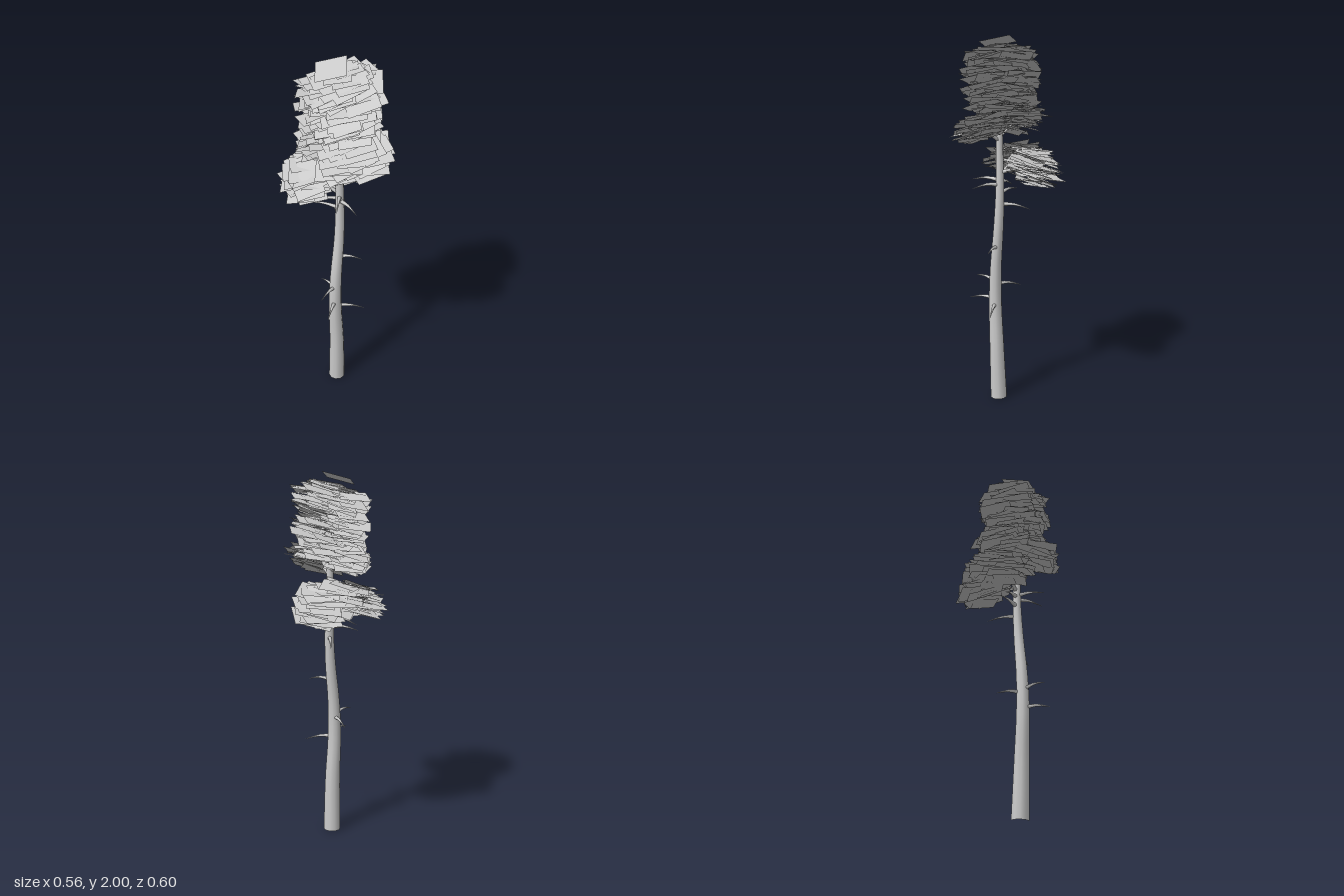
import * as THREE from 'three';
import { mergeGeometries } from 'three/addons/utils/BufferGeometryUtils.js';

const V = (x, y, z) => new THREE.Vector3(x, y, z);

function seeded(seed) {
  return () => {
    seed = (seed * 1664525 + 1013904223) % 4294967296;
    return seed / 4294967296;
  };
}

// Tube along a curve whose radius changes from ring to ring
function taperedTube(points, radiusAt, segments, sides) {
  const curve = new THREE.CatmullRomCurve3(points);
  const geo = new THREE.TubeGeometry(curve, segments, 1, sides);
  const pos = geo.attributes.position;
  const v = new THREE.Vector3();
  for (let i = 0; i <= segments; i++) {
    const centre = curve.getPointAt(i / segments);
    for (let j = 0; j <= sides; j++) {
      const k = i * (sides + 1) + j;
      v.fromBufferAttribute(pos, k).sub(centre).multiplyScalar(radiusAt(i / segments)).add(centre);
      pos.setXYZ(k, v.x, v.y, v.z);
    }
  }
  return geo;
}

// One square leaf card, facing up along a tilted normal
function leafCard(centre, size, yaw, normal) {
  const geo = new THREE.PlaneGeometry(size, size * 1.05);
  geo.rotateX(-Math.PI / 2).rotateY(yaw);
  geo.applyQuaternion(new THREE.Quaternion().setFromUnitVectors(V(0, 1, 0), normal.normalize()));
  return geo.translate(centre.x, centre.y, centre.z);
}

// Cards spread through an upright barrel-shaped volume
function leafClump({ at, radii, count, tilt, lean = 0, drop = [0, 0], seed }) {
  const rand = seeded(seed);
  const jitter = (a) => (rand() - 0.5) * 2 * a;
  const cards = [];
  for (let i = 0; i < count; i++) {
    const h = 2 * (i + 0.5) / count - 1;
    const ring = Math.pow(1 - Math.abs(h) ** 4, 0.5);
    const angle = i * 2.39996 + jitter(0.4);
    const r = ring * (0.35 + 0.65 * Math.sqrt(rand()));
    const ox = Math.cos(angle) * r * radii[0];
    const oz = Math.sin(angle) * r * radii[2];
    const y = at[1] + h * radii[1] + ox * drop[0] + oz * drop[1];
    const normal = V(tilt[0] + jitter(0.16), 1, tilt[1] + lean * oz + jitter(0.16));
    cards.push(leafCard(V(at[0] + ox, y, at[2] + oz), 0.13 + rand() * 0.035, jitter(0.28), normal));
  }
  return mergeGeometries(cards);
}

export function createModel() {
  const tree = new THREE.Group();
  const bark = new THREE.MeshStandardMaterial({ color: 0xcccccc });
  const leaf = new THREE.MeshStandardMaterial({ color: 0xcccccc, side: THREE.DoubleSide });
  const add = (name, geo, mat) => {
    const mesh = new THREE.Mesh(geo, mat);
    mesh.name = name;
    tree.add(mesh);
  };

  // Gently bending trunk, open at the foot
  const spine = [
    V(0, 0, 0.05), V(-0.003, 0.3, 0.06), V(-0.014, 0.55, 0.068), V(-0.01, 0.75, 0.065),
    V(0.01, 1.0, 0.048), V(0.014, 1.2, 0.04), V(0.01, 1.45, 0.042), V(0.015, 1.9, 0.04),
  ];
  add('trunk', taperedTube(spine, (t) => 0.047 * (1 - 0.85 * t) + 0.003 * t, 28, 10), bark);

  // Bare dead twigs: root on the trunk, drooping tip
  const twigs = [
    [V(0.005, 0.88, 0.056), V(0.125, 0.875, 0.1)],
    [V(-0.012, 0.68, 0.066), V(-0.11, 0.685, 0.18)],
    [V(-0.012, 0.665, 0.066), V(-0.07, 0.642, -0.07)],
    [V(-0.014, 0.58, 0.068), V(-0.08, 0.563, 0.21)],
    [V(-0.014, 0.55, 0.068), V(0.15, 0.525, 0.09)],
    [V(0.013, 1.225, 0.04), V(0.075, 1.215, 0.18)],
    [V(0.013, 1.25, 0.04), V(-0.03, 1.245, 0.19)],
    [V(0.013, 1.18, 0.04), V(-0.14, 1.175, -0.05)],
    [V(0.012, 1.12, 0.042), V(0.005, 1.09, -0.12)],
    [V(0.013, 1.24, 0.04), V(-0.13, 1.2, -0.02)],
  ];
  for (const [root, tip] of twigs) {
    const mid = root.clone().lerp(tip, 0.5).add(V(0, 0.012, 0));
    add('twig', taperedTube([root, mid, tip], (t) => 0.012 * (1 - t) + 0.0008, 6, 6), bark);
  }

  // Branches carrying the side clumps
  const limbs = [
    [V(0.012, 1.27, 0.04), V(-0.16, 1.34, -0.04)],
    [V(0.012, 1.29, 0.04), V(0.08, 1.33, -0.16)],
    [V(0.01, 1.46, 0.042), V(0.1, 1.52, 0.15)],
    [V(0.01, 1.48, 0.042), V(-0.1, 1.55, -0.06)],
  ];
  for (const [root, tip] of limbs) {
    const mid = root.clone().lerp(tip, 0.5).add(V(0, 0.01, 0));
    add('limb', taperedTube([root, mid, tip], (t) => 0.011 * (1 - t) + 0.001, 6, 6), bark);
  }

  // Foliage clumps of flat cards
  const clumps = {
    crown: { at: [0.035, 1.775, 0.03], radii: [0.13, 0.165, 0.14], count: 150, tilt: [-0.26, 0.06], lean: 1.2, seed: 7 },
    crownRight: { at: [-0.085, 1.765, -0.01], radii: [0.05, 0.125, 0.09], count: 36, tilt: [-0.24, -0.15], seed: 13 },
    frontClump: { at: [0.06, 1.535, 0.13], radii: [0.13, 0.06, 0.1], count: 56, tilt: [-0.2, 0.25], drop: [0.1, -0.25], seed: 33 },
    backClump: { at: [-0.08, 1.555, -0.03], radii: [0.065, 0.055, 0.075], count: 34, tilt: [-0.2, -0.2], drop: [0, -0.25], seed: 21 },
    underCrown: { at: [0.05, 1.6, -0.06], radii: [0.09, 0.045, 0.08], count: 24, tilt: [-0.22, -0.1], drop: [0, -0.3], seed: 29 },
    lowerRightClump: { at: [-0.145, 1.34, -0.04], radii: [0.065, 0.075, 0.105], count: 48, tilt: [-0.22, 0.1], drop: [0.25, -0.05], seed: 45 },
    lowerLeftClump: { at: [0.07, 1.32, -0.14], radii: [0.06, 0.08, 0.085], count: 48, tilt: [-0.12, -0.25], drop: [-0.1, 0.25], seed: 58 },
    lowerMiddleClump: { at: [-0.03, 1.355, -0.11], radii: [0.07, 0.07, 0.08], count: 32, tilt: [-0.18, -0.15], drop: [0, 0.2], seed: 63 },
  };
  for (const [name, spec] of Object.entries(clumps)) add(name, leafClump(spec), leaf);

  // Topmost card
  add('topLeaf', leafCard(V(-0.035, 1.962, 0.05), 0.155, -0.2, V(-0.3, 1, 0.16)), leaf);

  return tree;
}
